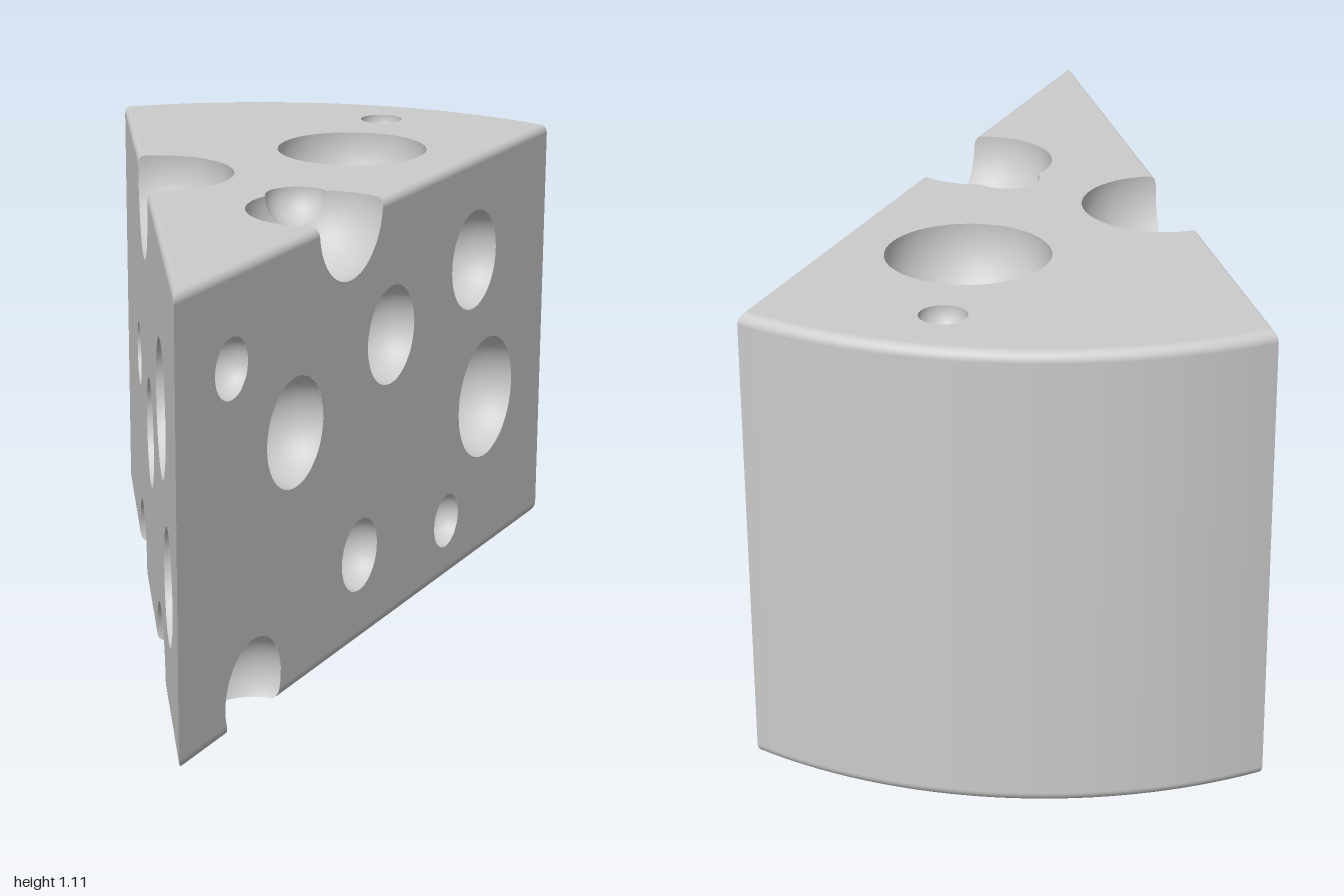
import * as THREE from 'three';
import { mergeVertices } from 'three/addons/utils/BufferGeometryUtils.js';

const H = 1.105;                       // wedge height
const TAN = 0.318;                     // half-angle of the wedge tip
const COS = 1 / Math.hypot(1, TAN), SIN = TAN * COS;
const ARC_Z = 0.15, ARC_R = 1.15;      // curved rind
const CORNER = new THREE.Vector2(0.585, -0.84);
const MID_Z = -0.3;                    // point the rounded rims shrink towards
const RIM = 0.025, INSET = 0.035;      // rim height and shrink

const vert = (p, n) => ({ p, n });

// Holes: [x, y, z, radius]
const onSide = (side, y, z, r) => [side * (1 - z) * TAN, y, z, r];
const HOLES = [
  // left face
  onSide(1, 0.875, 0.77, 0.073), onSide(1, 0.64, 0.49, 0.135),
  onSide(1, 0.75, 0.027, 0.125), onSide(1, 0.83, -0.42, 0.131),
  onSide(1, 0.433, -0.505, 0.163), onSide(1, 0.225, 0.177, 0.093),
  onSide(1, 0.155, -0.29, 0.071), onSide(1, 0.065, 0.68, 0.13),
  // right face
  onSide(-1, 0.69, 0.526, 0.167), onSide(-1, 0.485, 0.115, 0.138),
  onSide(-1, 0.557, -0.31, 0.083), onSide(-1, 0.322, 0.715, 0.14),
  onSide(-1, 0.02, -0.245, 0.145), onSide(-1, 0.0, 0.434, 0.156),
  // top face and its edges
  [0.125, 1.09, -0.437, 0.193], [0.14, 1.1, -0.805, 0.055],
  [0.165, 1.1, 0.205, 0.18], [0.085, 1.1, 0.08, 0.08],
  [-0.303, 1.08, -0.07, 0.195],
].map(([x, y, z, r]) => ({ c: new THREE.Vector3(x, y, z), r }));

const outsideHole = (hole) => (p) => p.distanceTo(hole.c) - hole.r;

// Positive inside the wedge, including its rounded rims
function insideWedge(p) {
  const e = Math.min(p.y, H - p.y);
  if (e <= 0) return e;
  const k = Math.max(0, (RIM - e) / RIM);
  const s = 1 - INSET * (1 - Math.sqrt(1 - k * k));
  const x = Math.abs(p.x) / s, z = (p.z - MID_Z) / s + MID_Z;
  return Math.min(e, (1 - z) * SIN - x * COS, ARC_R - Math.hypot(x, z - ARC_Z));
}

// Keeps the part of each triangle where f > 0
function clip(tris, f) {
  const out = [];
  const cross = (a, b) => {
    let lo = 0, hi = 1;
    const p = new THREE.Vector3();
    for (let i = 0; i < 18; i++) {
      const m = (lo + hi) / 2;
      if (f(p.lerpVectors(a.p, b.p, m)) > 0) lo = m; else hi = m;
    }
    return vert(p.lerpVectors(a.p, b.p, lo).clone(), a.n.clone().lerp(b.n, lo).normalize());
  };
  for (const tri of tris) {
    const d = tri.map((v) => f(v.p) > 0);
    if (d[0] && d[1] && d[2]) { out.push(tri); continue; }
    if (!d[0] && !d[1] && !d[2]) continue;
    const poly = [];
    for (let i = 0; i < 3; i++) {
      const j = (i + 1) % 3;
      if (d[i]) poly.push(tri[i]);
      if (d[i] !== d[j]) poly.push(d[i] ? cross(tri[i], tri[j]) : cross(tri[j], tri[i]));
    }
    for (let i = 2; i < poly.length; i++) out.push([poly[0], poly[i - 1], poly[i]]);
  }
  return out;
}

// Triangles of a grid of vertices
function gridTriangles(rows, cols, at) {
  const g = [], tris = [];
  for (let i = 0; i <= rows; i++) {
    g.push([]);
    for (let j = 0; j <= cols; j++) g[i].push(at(i, j / cols));
  }
  for (let i = 0; i < rows; i++) for (let j = 0; j < cols; j++) {
    tris.push([g[i][j], g[i][j + 1], g[i + 1][j + 1]], [g[i][j], g[i + 1][j + 1], g[i + 1][j]]);
  }
  return tris;
}

// Builds a geometry, turning each triangle to agree with its normals
function toGeometry(tris) {
  const pos = [], nor = [];
  const u = new THREE.Vector3(), w = new THREE.Vector3();
  for (const [a, b, c] of tris) {
    u.subVectors(b.p, a.p).cross(w.subVectors(c.p, a.p));
    if (u.length() < 1e-10) continue;
    w.copy(a.n).add(b.n).add(c.n);
    for (const v of u.dot(w) > 0 ? [a, b, c] : [a, c, b]) {
      pos.push(v.p.x, v.p.y, v.p.z);
      nor.push(v.n.x, v.n.y, v.n.z);
    }
  }
  const geo = new THREE.BufferGeometry();
  geo.setAttribute('position', new THREE.Float32BufferAttribute(pos, 3));
  geo.setAttribute('normal', new THREE.Float32BufferAttribute(nor, 3));
  return mergeVertices(geo, 1e-5);
}

// Outline edges: point and outward normal for t in 0..1
const arcHalf = Math.atan2(CORNER.x, ARC_Z - CORNER.y);
const sideEdge = (s) => (t) => ({ x: s * CORNER.x * t, z: 1 + (CORNER.y - 1) * t, nx: s * COS, nz: SIN });
const rindEdge = (t) => {
  const a = (2 * t - 1) * arcHalf, nx = Math.sin(a), nz = -Math.cos(a);
  return { x: ARC_R * nx, z: ARC_Z + ARC_R * nz, nx, nz };
};

// Wall profile from bottom to top: rounded rim, straight wall, rounded rim
function wallProfile() {
  const rows = [], n = 6, m = 40;
  for (let i = 0; i <= n; i++) rows.push({ y: RIM, a: (i / n - 1) * Math.PI / 2 });
  for (let i = 1; i < m; i++) rows.push({ y: RIM + (H - 2 * RIM) * i / m, a: 0 });
  for (let i = 0; i <= n; i++) rows.push({ y: H - RIM, a: (i / n) * Math.PI / 2 });
  return rows.map(({ y, a }) => ({ y: y + RIM * Math.sin(a), s: 1 - INSET * (1 - Math.cos(a)), a }));
}

function wedgeTriangles() {
  const profile = wallProfile(), tris = [], capRows = 40;
  for (const edge of [sideEdge(1), sideEdge(-1), rindEdge]) {
    const cols = edge === rindEdge ? 48 : 70;
    // wall
    tris.push(...gridTriangles(profile.length - 1, cols, (i, t) => {
      const { y, s, a } = profile[i], o = edge(t);
      return vert(new THREE.Vector3(o.x * s, y, MID_Z + (o.z - MID_Z) * s),
        new THREE.Vector3(o.nx * Math.cos(a), Math.sin(a), o.nz * Math.cos(a)));
    }));
    // top and bottom
    for (const up of [1, -1]) {
      tris.push(...gridTriangles(capRows, cols, (i, t) => {
        const s = (1 - INSET) * i / capRows, o = edge(t);
        return vert(new THREE.Vector3(o.x * s, up > 0 ? H : 0, MID_Z + (o.z - MID_Z) * s),
          new THREE.Vector3(0, up, 0));
      }));
    }
  }
  return tris;
}

// Inside wall of one round hole
function holeTriangles(hole) {
  let tris = gridTriangles(32, 56, (i, t) => {
    const n = new THREE.Vector3().setFromSphericalCoords(1, Math.PI * i / 32, 2 * Math.PI * t);
    return vert(n.clone().multiplyScalar(hole.r).add(hole.c), n.negate());
  });
  tris = clip(tris, insideWedge);
  for (const other of HOLES) {
    if (other !== hole && other.c.distanceTo(hole.c) < other.r + hole.r) tris = clip(tris, outsideHole(other));
  }
  return tris;
}

export function createModel() {
  const group = new THREE.Group();
  group.name = 'cheeseWedge';
  const material = new THREE.MeshStandardMaterial({ color: 0xcccccc });
  const add = (name, tris) => {
    const mesh = new THREE.Mesh(toGeometry(tris), material);
    mesh.name = name;
    group.add(mesh);
  };
  add('wedgeBody', HOLES.reduce((tris, hole) => clip(tris, outsideHole(hole)), wedgeTriangles()));
  HOLES.forEach((hole, i) => add(`hole${i + 1}`, holeTriangles(hole)));
  return group;
}
